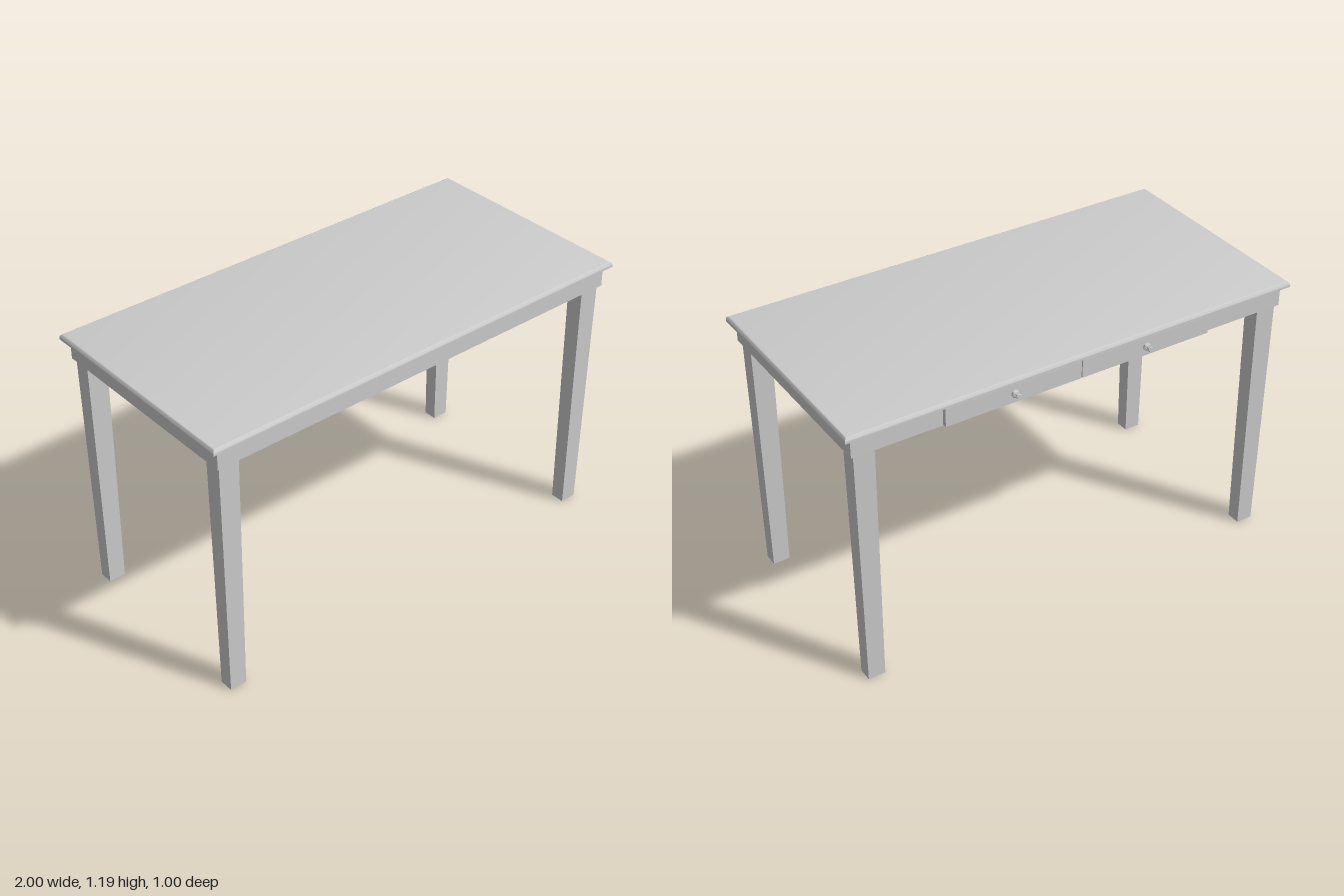
import * as THREE from 'three';
import { toCreasedNormals } from 'three/addons/utils/BufferGeometryUtils.js';

const material = new THREE.MeshStandardMaterial({ color: 0xcccccc });

function addMesh(parent, name, geometry, x, y, z) {
  const mesh = new THREE.Mesh(geometry, material);
  mesh.name = name;
  mesh.position.set(x, y, z);
  parent.add(mesh);
  return mesh;
}

// Slab whose upper edge is rounded over by an inset per height level
function tabletopGeometry(width, height, depth) {
  const levels = 8, radius = 0.016;
  const geometry = new THREE.BoxGeometry(width, height, depth, 1, levels, 1);
  const p = geometry.attributes.position;
  for (let i = 0; i < p.count; i++) {
    const t = Math.round((p.getY(i) / height + 0.5) * levels);
    let y = 0, inset = 0;
    if (t > 0) {
      const a = ((t - 1) / (levels - 1)) * Math.PI / 2;
      y = height - radius + radius * Math.sin(a);
      inset = radius * (1 - Math.cos(a));
    }
    p.setXYZ(i,
      p.getX(i) - Math.sign(p.getX(i)) * inset,
      y - height / 2,
      p.getZ(i) - Math.sign(p.getZ(i)) * inset);
  }
  return toCreasedNormals(geometry, 0.5);
}

// Square-cut leg, slightly narrower at the foot
function legGeometry(height) {
  const geometry = new THREE.BoxGeometry(0.088, height, 0.073);
  const p = geometry.attributes.position;
  for (let i = 0; i < p.count; i++) {
    if (p.getY(i) < 0) p.setXYZ(i, p.getX(i) * 0.83, p.getY(i), p.getZ(i) * 0.83);
  }
  return toCreasedNormals(geometry, 0.5);
}

// Turned knob: base plate, thin stem, small round head
function knobGeometry() {
  const profile = [
    [0, 0], [0.016, 0], [0.016, 0.006], [0.013, 0.009], [0.005, 0.010],
    [0.004, 0.019], [0.009, 0.022], [0.011, 0.025], [0.009, 0.028], [0, 0.029],
  ].map(([r, y]) => new THREE.Vector2(r, y));
  const geometry = new THREE.LatheGeometry(profile, 20);
  geometry.rotateX(-Math.PI / 2);
  return toCreasedNormals(geometry, 0.7);
}

export function createModel() {
  const table = new THREE.Group();
  table.name = 'table';

  // Top and the frame under it
  addMesh(table, 'tabletop', tabletopGeometry(2, 0.024, 0.975), 0, 1.175, 0.0125);
  addMesh(table, 'apron', new THREE.BoxGeometry(1.94, 0.086, 0.928), 0, 1.12, 0.013);

  // Four legs
  const leg = legGeometry(1.08);
  for (const x of [-0.913, 0.913]) {
    for (const z of [-0.404, 0.428]) addMesh(table, 'leg', leg, x, 0.54, z);
  }

  // Two drawers with knobs on the back side
  const front = new THREE.BoxGeometry(0.592, 0.077, 0.022);
  const knob = knobGeometry();
  for (const x of [-0.298, 0.298]) {
    const drawer = new THREE.Group();
    drawer.name = 'drawer';
    drawer.position.set(x, 1.12, 0);
    addMesh(drawer, 'drawerFront', front, 0, 0, -0.459);
    addMesh(drawer, 'drawerKnob', knob, 0, 0, -0.47);
    table.add(drawer);
  }

  return table;
}
